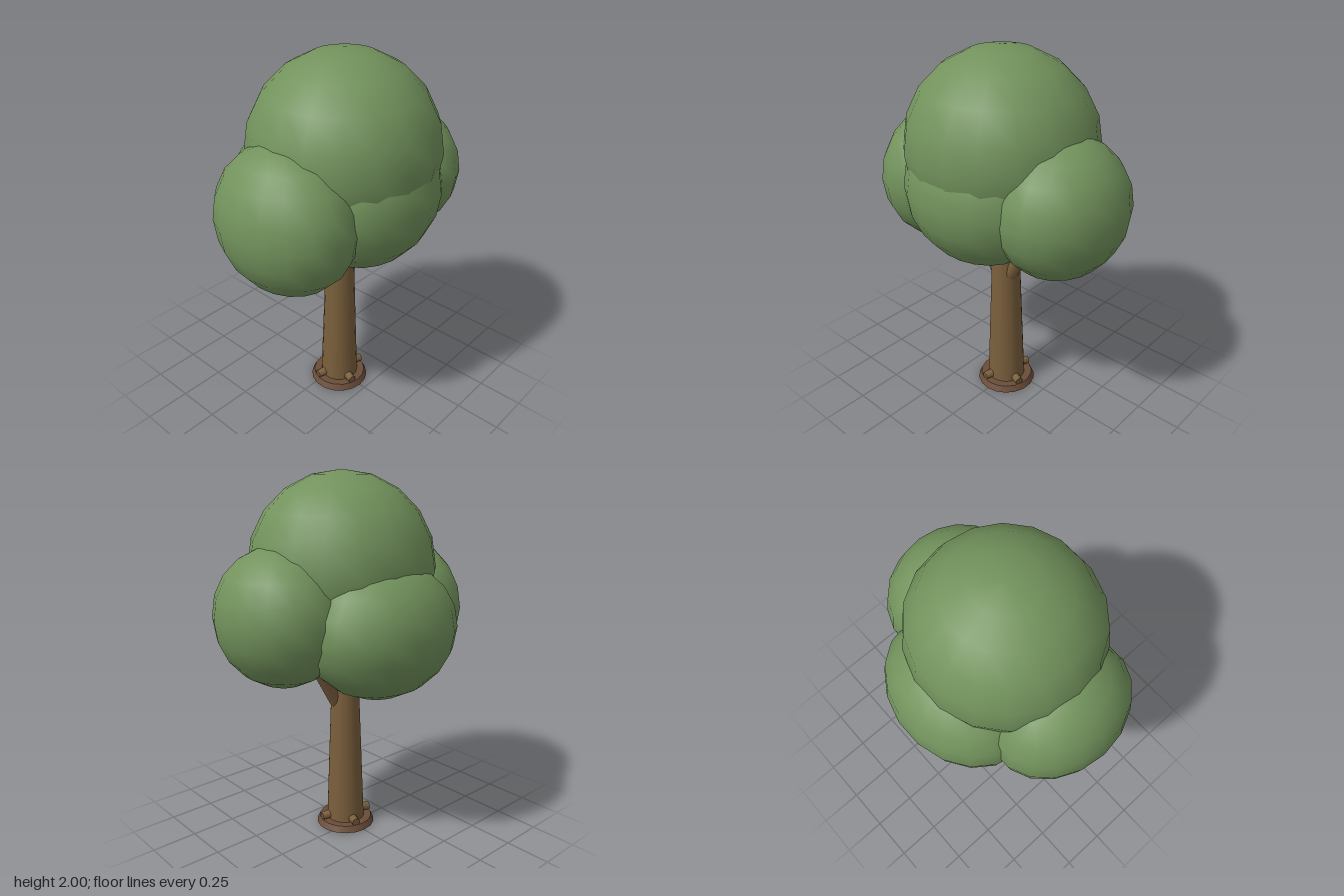
import * as THREE from 'three';

export function createModel() {
  const tree = new THREE.Group();
  tree.name = 'tree';
  const leaf = new THREE.MeshStandardMaterial({ name: 'leaf green', color: 0x72925c });
  const bark = new THREE.MeshStandardMaterial({ name: 'bark brown', color: 0x7a5f3c });
  const soil = new THREE.MeshStandardMaterial({ name: 'base brown', color: 0x6b4d3a });
  const axisZ = 0.05; // the trunk stands slightly forward

  const add = (name, geometry, material, x, y, z) => {
    const mesh = new THREE.Mesh(geometry, material);
    mesh.name = name;
    mesh.position.set(x, y, z);
    tree.add(mesh);
    return mesh;
  };

  // Tapered cylinder between two points
  const limb = (name, from, to, r0, r1, sides) => {
    const a = new THREE.Vector3(...from), b = new THREE.Vector3(...to);
    const dir = b.clone().sub(a);
    const mid = a.clone().add(b).multiplyScalar(0.5);
    const mesh = add(name, new THREE.CylinderGeometry(r1, r0, dir.length(), sides), bark, mid.x, mid.y, mid.z);
    mesh.quaternion.setFromUnitVectors(new THREE.Vector3(0, 1, 0), dir.normalize());
  };

  // Flared base and trunk
  add('base', new THREE.CylinderGeometry(0.15, 0.166, 0.034, 18), soil, 0, 0.02, axisZ);
  limb('trunk', [0, 0, axisZ], [0, 1.15, axisZ], 0.109, 0.066, 18);

  // Four stubby roots around the trunk
  for (let i = 0; i < 4; i++) {
    const angle = 0.3 + i * Math.PI / 2;
    const c = Math.cos(angle), s = Math.sin(angle);
    limb('root', [c * 0.06, 0.062, axisZ + s * 0.06], [c * 0.148, 0.055, axisZ + s * 0.148], 0.028, 0.023, 8);
  }

  // Mirrored branches reaching into the crown
  for (const side of [-1, 1]) {
    limb('branch', [side * 0.045, 0.75, 0.065], [side * 0.27, 1.12, 0.065], 0.042, 0.034, 10);
  }

  // Crown of overlapping ellipsoids: name, centre, radii
  const clumps = [
    ['topFoliage', [0, 1.5, 0.072], [0.505, 0.5, 0.497]],
    ['leftFoliage', [0.4, 1.283, 0.087], [0.328, 0.36, 0.377]],
    ['rightFoliage', [-0.41, 1.25, 0.066], [0.32, 0.386, 0.397]],
    ['frontFoliage', [0, 1.3, 0.25], [0.425, 0.376, 0.328]],
    ['backFoliage', [0, 1.213, -0.23], [0.44, 0.36, 0.348]],
  ];
  for (const [name, centre, radii] of clumps) {
    const geometry = new THREE.SphereGeometry(1, 18, 10).scale(...radii);
    add(name, geometry, leaf, ...centre);
  }
  return tree;
}
